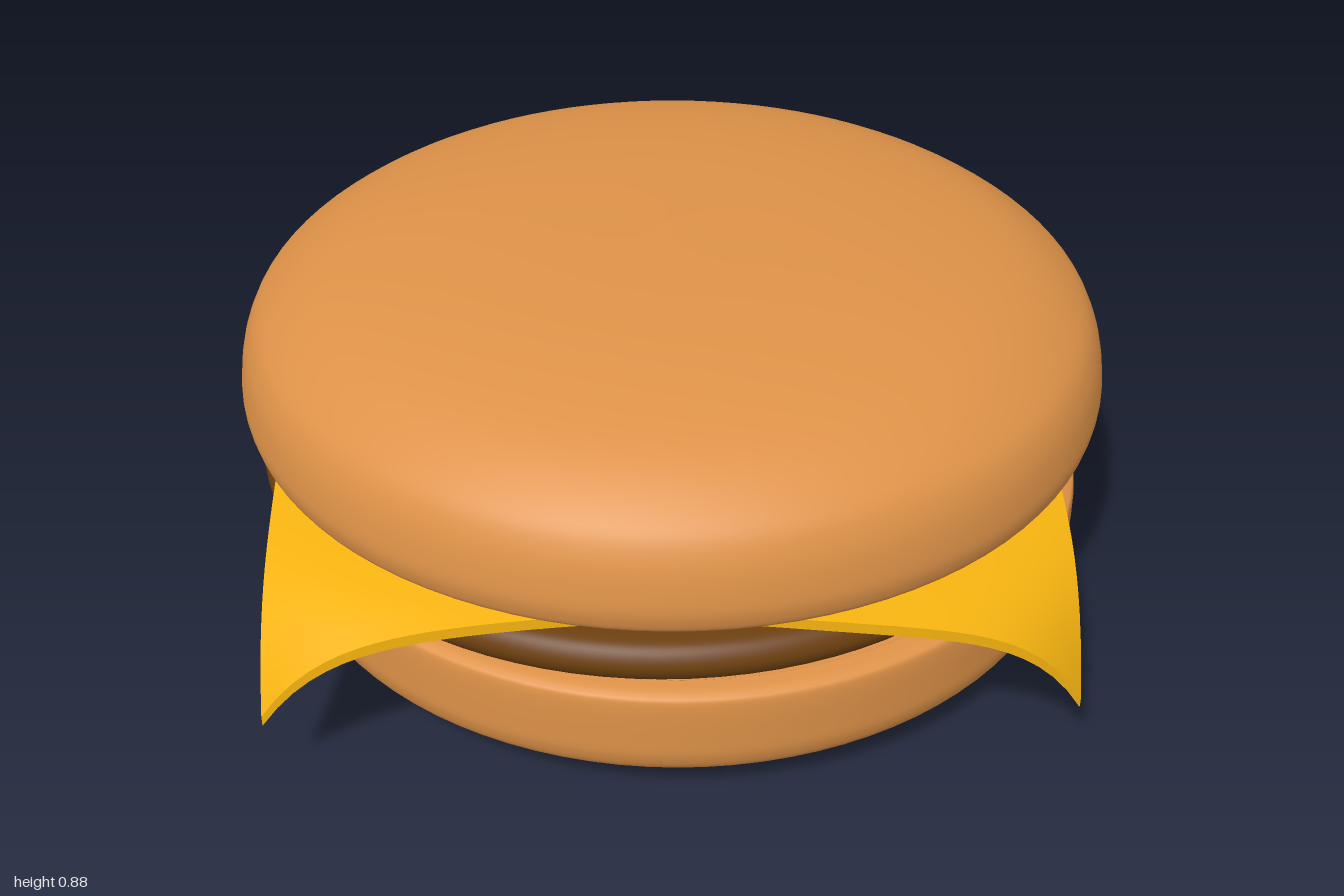
import * as THREE from 'three';

const BUN = 0xde9248, PATTY = 0x6b3f0e, CHEESE = 0xf5b310;

function addPart(group, name, geometry, color, x = 0, z = 0) {
  const mesh = new THREE.Mesh(geometry, new THREE.MeshStandardMaterial({ color }));
  mesh.name = name;
  mesh.position.set(x, 0, z);
  group.add(mesh);
}

// Round solid turned from a smooth profile of [radius, height], bottom to top
function turned(points) {
  const curve = new THREE.SplineCurve(points.map(([r, y]) => new THREE.Vector2(r, y)));
  const profile = curve.getPoints(60);
  profile.forEach(p => { p.x = Math.max(0, p.x); });
  return new THREE.LatheGeometry(profile, 96);
}

// Square slice, flat in the middle, with corners that droop past the bun
function cheeseSlice() {
  const half = 0.86, thick = 0.025, flat = 0.75;
  const geo = new THREE.BoxGeometry(2 * half, thick, 2 * half, 48, 1, 48);
  const pos = geo.attributes.position;
  const reach = half * Math.SQRT2 - flat;
  for (let i = 0; i < pos.count; i++) {
    const x = pos.getX(i), z = pos.getZ(i);
    const t = Math.max(0, Math.hypot(x, z) - flat) / reach;
    const depth = x > 0 && z > 0 ? 0.225 : 0.18;
    const drop = 0.075 * t + depth * t ** 5;
    // Front and left edges bulge out slightly
    const u = x / half, v = z / half;
    const bulgeZ = 0.05 * Math.max(0, v) ** 4 * Math.max(0, u) * (1 - u * u) * 2.6;
    const bulgeX = 0.03 * Math.max(0, u) ** 4 * (1 - v * v);
    pos.setXYZ(i, x + bulgeX, pos.getY(i) + 0.466 - drop, z + bulgeZ);
  }
  geo.computeVertexNormals();
  return geo;
}

export function createModel() {
  const group = new THREE.Group();
  group.name = 'cheeseburger';

  addPart(group, 'bottomBun', turned([
    [0, 0.005], [0.4, 0.01], [0.7, 0.03], [0.85, 0.06], [0.92, 0.095], [0.945, 0.14],
    [0.95, 0.2], [0.95, 0.285], [0.938, 0.307], [0.9, 0.315], [0.8, 0.315], [0, 0.315],
  ]), BUN, 0.01, 0.03);

  addPart(group, 'patty', turned([
    [0, 0.318], [0.8, 0.318], [0.89, 0.32], [0.932, 0.333], [0.95, 0.37],
    [0.932, 0.407], [0.89, 0.42], [0.8, 0.422], [0, 0.422],
  ]), PATTY, -0.02, 0.01);

  addPart(group, 'cheese', cheeseSlice(), CHEESE, -0.045, 0.02);

  addPart(group, 'topBun', turned([
    [0, 0.48], [0.8, 0.48], [0.93, 0.481], [0.98, 0.49], [0.997, 0.52], [1, 0.57],
    [0.98, 0.66], [0.93, 0.73], [0.8, 0.805], [0.6, 0.852], [0.35, 0.877], [0, 0.885],
  ]), BUN);

  return group;
}
